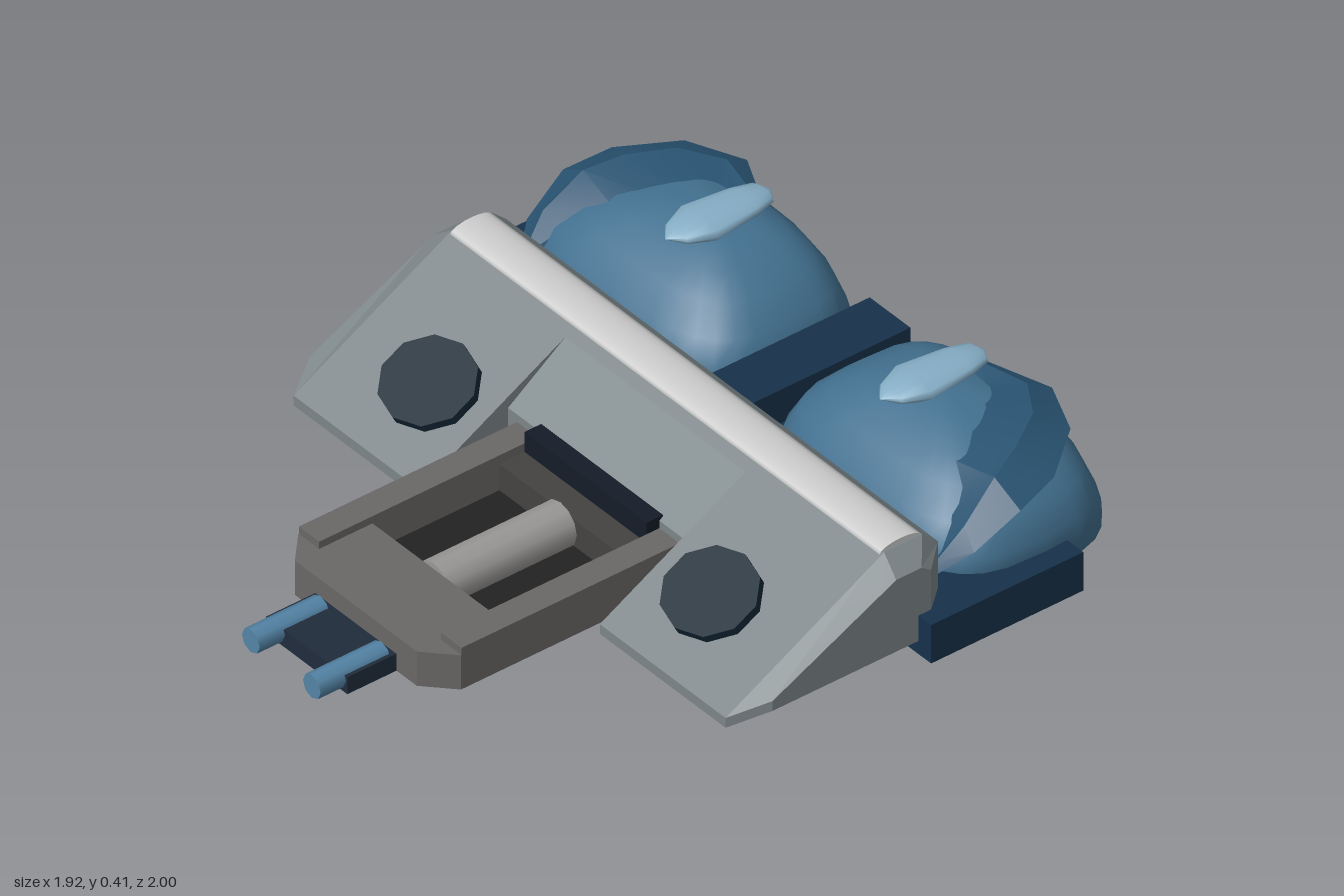
import * as THREE from 'three';
import { toCreasedNormals } from 'three/addons/utils/BufferGeometryUtils.js';

const mat = (color, opts = {}) => new THREE.MeshStandardMaterial({ color, ...opts });
const slate = mat(0x7c8588), steel = mat(0xcccccc), brown = mat(0x6a6866), dark = mat(0x222222);
const navy = mat(0x17314a), black = mat(0x132735), blue = mat(0x42708f), pale = mat(0x86aec6);
const lidBlue = mat(0x285270, { side: THREE.DoubleSide });

function add(parent, name, geo, material, x = 0, y = 0, z = 0) {
  const mesh = new THREE.Mesh(geo, material);
  mesh.name = name;
  mesh.position.set(x, y, z);
  parent.add(mesh);
  return mesh;
}

// Box given by its limits
function block(parent, name, material, x0, x1, y0, y1, z0, z1) {
  return add(parent, name, new THREE.BoxGeometry(x1 - x0, y1 - y0, z1 - z0), material,
    (x0 + x1) / 2, (y0 + y1) / 2, (z0 + z1) / 2);
}

// Skin through rings of equal point count; closed rings also get end caps
function loft(rings, closed, crease) {
  const n = rings[0].length, index = [];
  for (let i = 0; i < rings.length - 1; i++) {
    for (let j = 0; j < (closed ? n : n - 1); j++) {
      const k = (j + 1) % n, a = i * n + j, b = i * n + k;
      index.push(a, b, b + n, a, b + n, a + n);
    }
  }
  if (closed) {
    const e = (rings.length - 1) * n;
    for (let k = 1; k < n - 1; k++) index.push(0, k + 1, k, e, e + k, e + k + 1);
  }
  const geo = new THREE.BufferGeometry();
  geo.setAttribute('position', new THREE.Float32BufferAttribute(rings.flat(2), 3));
  geo.setIndex(index);
  return toCreasedNormals(geo, crease);
}

// Sloped body: side profiles [z, y] placed along x, with a shallower middle
function bodyGeometry() {
  const end = [[0.18, 0.04], [0.18, 0.07], [-0.18, 0.245], [-0.21, 0.26], [-0.29, 0.26], [-0.32, 0.24], [-0.32, 0.04]];
  const wing = [[0.28, 0], [0.28, 0.03], [-0.18, 0.283], [-0.22, 0.305], [-0.34, 0.305], [-0.39, 0.26], [-0.39, 0]];
  const middle = [[0, 0], [0, 0.15], ...wing.slice(2)];
  const stations = [[0.91, end], [0.85, wing], [0.355, wing], [0.355, middle],
    [-0.355, middle], [-0.355, wing], [-0.85, wing], [-0.91, end]];
  return loft(stations.map(([x, p]) => p.map(([z, y]) => [x, y, z])), true, 0.05);
}

// Rounded-square dome: each level is y, x limits, z limits
function domeGeometry(s) {
  const levels = [[0.04, 0.10, 0.88, -1.0, -0.41], [0.10, 0.08, 0.90, -0.99, -0.39],
    [0.16, 0.08, 0.90, -0.97, -0.40], [0.23, 0.115, 0.86, -0.945, -0.44], [0.29, 0.18, 0.79, -0.91, -0.5],
    [0.33, 0.25, 0.71, -0.87, -0.56], [0.36, 0.33, 0.60, -0.81, -0.63], [0.372, 0.42, 0.50, -0.74, -0.69]];
  const n = 28, soft = (v) => Math.sign(v) * Math.abs(v) ** 0.62;
  const rings = levels.map(([y, x0, x1, z0, z1]) => Array.from({ length: n }, (_, j) => {
    const a = (j / n) * Math.PI * 2;
    return [s * (x0 + x1) / 2 + soft(Math.cos(a)) * (x1 - x0) / 2, y,
      (z0 + z1) / 2 - soft(Math.sin(a)) * (z1 - z0) / 2];
  }));
  return loft(rings, true, 0.9);
}

// Faceted lid lying over the outer side of a dome, its inner edge sunk in
function lidGeometry(s) {
  const rim = [[0.44, 0.36, -0.86], [0.60, 0.325, -0.95], [0.76, 0.325, -0.88], [0.87, 0.305, -0.74],
    [0.90, 0.28, -0.61], [0.88, 0.20, -0.48], [0.82, 0.13, -0.40]];
  const ridge = [[0.45, 0.372, -0.84], [0.59, 0.365, -0.88], [0.70, 0.37, -0.81], [0.77, 0.36, -0.70],
    [0.81, 0.335, -0.60], [0.83, 0.25, -0.49], [0.81, 0.16, -0.41]];
  const inner = [[0.46, 0.36, -0.81], [0.53, 0.36, -0.80], [0.57, 0.36, -0.74], [0.61, 0.345, -0.66],
    [0.68, 0.32, -0.58], [0.75, 0.24, -0.50], [0.78, 0.14, -0.43]];
  const lip = rim.map(([x, y, z]) => [x - 0.03, y - 0.02, z + 0.02]);
  const rows = [lip, rim, ridge, inner].map((r) => r.map(([x, y, z]) => [s * x, y, z]));
  return loft(s > 0 ? rows : rows.reverse(), false, 0.35);
}

export function createModel() {
  const model = new THREE.Group();
  model.name = 'model';

  // Sloped body with its rounded top rail
  add(model, 'body', bodyGeometry(), slate);
  const rail = add(model, 'topRail', new THREE.CylinderGeometry(0.065, 0.065, 1.69, 16), steel, 0, 0.3, -0.275);
  rail.rotation.z = Math.PI / 2;
  rail.scale.x = 0.32;

  // Tongue frame: chamfered front block, side rails, dark tray
  const tongue = new THREE.Group();
  tongue.name = 'tongue';
  model.add(tongue);
  const outline = new THREE.Shape([[-0.32, -0.52], [-0.32, -0.69], [-0.24, -0.765], [0.24, -0.765],
    [0.32, -0.69], [0.32, -0.52]].map(([x, y]) => new THREE.Vector2(x, y)));
  const front = new THREE.ExtrudeGeometry(outline, { depth: 0.105, bevelEnabled: false }).rotateX(-Math.PI / 2);
  add(tongue, 'tongueFront', front, brown);
  for (const s of [-1, 1]) {
    const x = s * 0.28;
    block(tongue, 'tongueSide', brown, x - 0.04, x + 0.04, 0, 0.127, -0.02, 0.688);
  }
  block(tongue, 'tray', dark, -0.24, 0.24, 0.008, 0.02, 0, 0.52);
  block(tongue, 'trayLedge', mat(0x454341), -0.24, 0.24, 0.02, 0.1, 0, 0.12);
  block(tongue, 'trayBar', mat(0x141c28), -0.24, 0.24, 0.1, 0.162, -0.012, 0.04);
  const roller = add(tongue, 'roller', new THREE.CylinderGeometry(0.065, 0.065, 0.4, 12), mat(0x9a9896), 0, 0.058, 0.32);
  roller.rotation.x = Math.PI / 2;

  // Plug at the tip of the tongue
  block(tongue, 'plug', mat(0x202c3c), -0.16, 0.16, 0, 0.052, 0.76, 0.92);

  // Rear base and divider
  block(model, 'rearBase', navy, -0.96, 0.96, 0, 0.118, -0.76, -0.28);
  block(model, 'divider', navy, -0.08, 0.08, 0, 0.22, -0.92, -0.36);

  for (const s of [-1, 1]) {
    // Prongs
    const prong = add(tongue, 'prong', new THREE.CylinderGeometry(0.035, 0.035, 0.22, 8), mat(0x5484a6), s * 0.12, 0.038, 0.89);
    prong.rotation.x = Math.PI / 2;

    // Ports on the slope
    const port = add(model, 'port', new THREE.CylinderGeometry(0.146, 0.146, 0.03, 10), black, s * 0.555, 0.148, 0.086);
    port.rotation.x = Math.atan(0.55);
    port.scale.z = 0.87;

    // Domes with lid and highlight
    add(model, 'dome', domeGeometry(s), blue);
    add(model, 'lid', lidGeometry(s), lidBlue);
    const glint = [[0.001, -0.165], [0.045, -0.14], [0.062, -0.08], [0.078, 0.06], [0.045, 0.13], [0.001, 0.165]];
    const shape = new THREE.LatheGeometry(glint.map(([r, h]) => new THREE.Vector2(r, h)), 12);
    const highlight = add(model, 'highlight', shape, pale, s * 0.422, 0.372, -0.715);
    highlight.rotation.x = Math.PI / 2;
    highlight.scale.z = 0.38;
  }
  return model;
}
